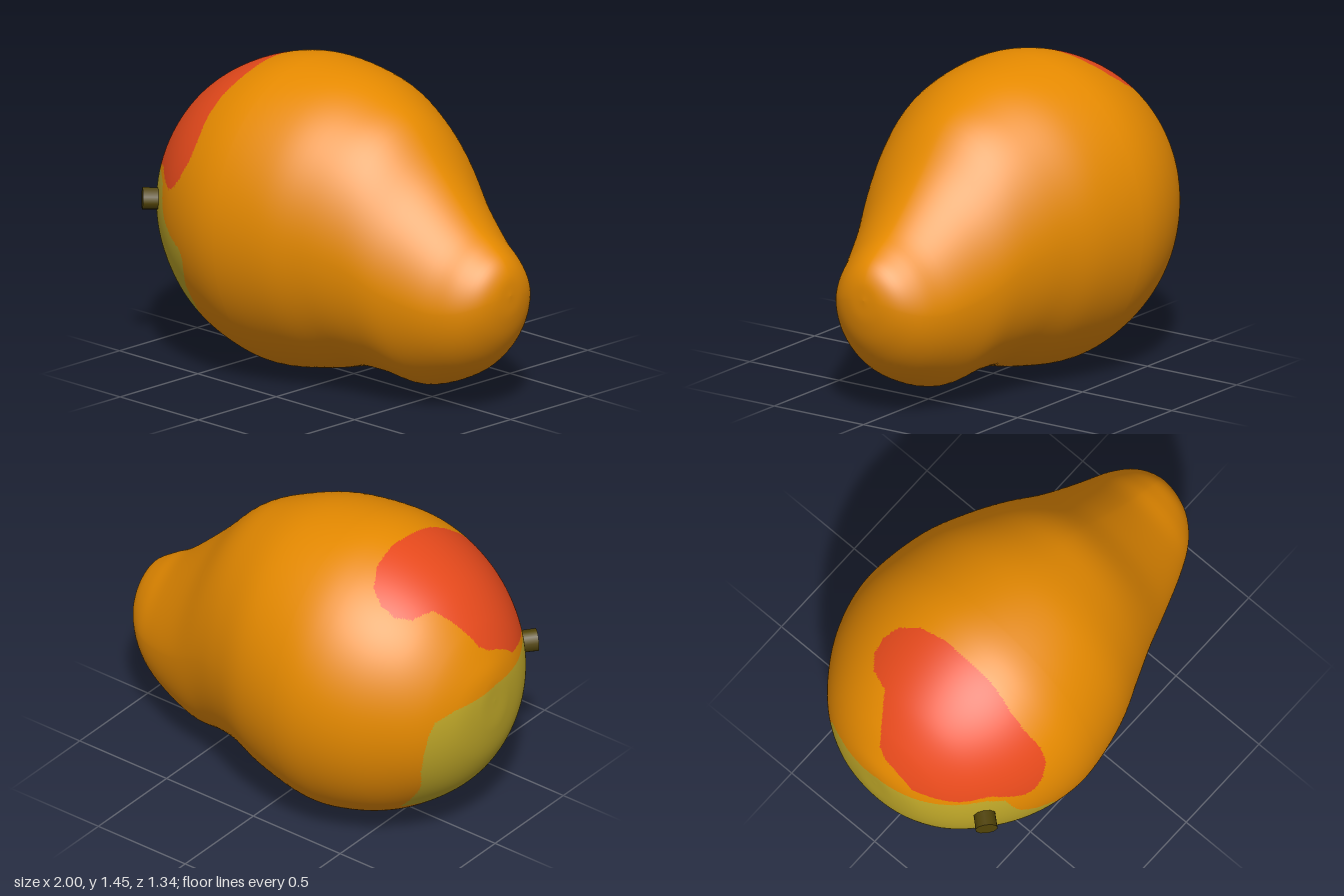
import * as THREE from 'three';

const material = (name, color) => Object.assign(new THREE.MeshStandardMaterial({ color }), { name });

// Even-odd test of a point against an outline of [a, b] pairs
function inside(a, b, outline) {
  let hit = false;
  for (let i = 0, j = outline.length - 1; i < outline.length; j = i++) {
    const [ai, bi] = outline[i], [aj, bj] = outline[j];
    if ((bi > b) !== (bj > b) && a < ((aj - ai) * (b - bi)) / (bj - bi) + ai) hit = !hit;
  }
  return hit;
}

// Body stations along x: [x, top, bottom, half width]
const stations = [
  [-1, 0.78, 0.78, 0], [-0.995, 0.9, 0.62, 0.11], [-0.96, 1.0, 0.465, 0.245], [-0.88, 1.14, 0.32, 0.38],
  [-0.76, 1.27, 0.2, 0.495], [-0.6, 1.37, 0.095, 0.595], [-0.42, 1.435, 0.03, 0.655], [-0.24, 1.455, 0.005, 0.665],
  [0, 1.43, 0.045, 0.62], [0.2, 1.365, 0.095, 0.54], [0.37, 1.27, 0.095, 0.465], [0.55, 1.08, 0.08, 0.39],
  [0.75, 0.89, 0.155, 0.31], [0.87, 0.81, 0.245, 0.25], [0.95, 0.75, 0.36, 0.175], [0.99, 0.68, 0.48, 0.09],
  [1, 0.59, 0.59, 0],
];

// Red blush: outline from above (x, z) and, on the front half, from the front (x, y)
const blushPlan = [
  [-0.955, 0.1], [-0.95, 0.02], [-0.93, -0.03], [-0.86, -0.08], [-0.76, -0.15], [-0.72, -0.25], [-0.66, -0.3],
  [-0.59, -0.31], [-0.52, -0.28], [-0.47, -0.19], [-0.45, -0.05], [-0.45, 0.05], [-0.42, 0.2], [-0.42, 0.8], [-0.955, 0.8],
];
const blushFront = [
  [-1.1, 0.935], [-0.95, 0.925], [-0.9, 0.91], [-0.85, 0.905], [-0.75, 0.93], [-0.69, 0.9], [-0.62, 0.87],
  [-0.57, 0.89], [-0.52, 0.95], [-0.48, 1.04], [-0.47, 1.12], [-0.485, 1.22], [-0.48, 1.3], [-0.455, 1.38],
  [-0.45, 1.6], [-1.1, 1.6],
];
// Green patch: outline from the front (x, y) and, on the back half, from the end (z, y)
const greenFront = [
  [-1.1, 0.86], [-0.95, 0.865], [-0.85, 0.885], [-0.77, 0.9], [-0.7, 0.87], [-0.68, 0.8], [-0.65, 0.73],
  [-0.58, 0.67], [-0.49, 0.62], [-0.475, 0.58], [-0.49, 0.5], [-0.51, 0.44], [-0.5, 0.35], [-0.52, 0.29],
  [-0.51, 0.19], [-0.6, 0.195], [-0.7, 0.215], [-1.1, 0.22],
];
const greenEnd = [
  [0.1, 0.86], [0, 0.86], [-0.1, 0.845], [-0.24, 0.83], [-0.33, 0.795], [-0.36, 0.72], [-0.37, 0.62],
  [-0.36, 0.52], [-0.32, 0.4], [-0.3, 0.3], [-0.28, 0.22], [-0.15, 0.205], [0.1, 0.19],
];

function skinIndex(x, y, z) {
  if (x > -0.4) return 0;
  if (inside(x, z, blushPlan) && (z < 0 ? y > 0.92 : inside(x, y, blushFront))) return 1;
  if (z > 0 ? inside(x, y, greenFront) : x < -0.6 && inside(z, y, greenEnd)) return 2;
  return 0;
}

function bodyGeometry() {
  const outline = new THREE.CatmullRomCurve3(stations.map(([x, t, b]) => new THREE.Vector3(x, t, b)), false, 'catmullrom', 0.5);
  const width = new THREE.CatmullRomCurve3(stations.map(([x, , , w]) => new THREE.Vector3(x, w, 0)), false, 'catmullrom', 0.5);
  // Finer rings over the patched end
  const spans = stations.length - 1, times = [];
  for (let s = 0; s < spans; s++) {
    const steps = s < 7 ? 24 : 5;
    for (let k = 0; k < steps; k++) times.push((s + k / steps) / spans);
  }
  times.push(1);

  const around = 300, pos = [];
  for (const t of times) {
    const p = outline.getPoint(t), half = Math.max(0, width.getPoint(t).y);
    const mid = (p.y + p.z) / 2, rise = (p.y - p.z) / 2;
    // The top of the narrow end is slightly ridged
    const ridge = 2 / (2 - 0.25 * THREE.MathUtils.smoothstep(p.x, 0, 0.7));
    for (let j = 0; j < around; j++) {
      const a = (j / around) * Math.PI * 2, s = Math.sin(a), c = Math.cos(a);
      const e = s > 0 ? ridge : 1;
      pos.push(p.x, mid + rise * Math.sign(s) * Math.abs(s) ** e, half * Math.sign(c) * Math.abs(c) ** e);
    }
  }

  // Sort triangles by skin colour
  const lists = [[], [], []];
  const addFace = (...v) => {
    const m = [0, 1, 2].map(k => (pos[v[0] * 3 + k] + pos[v[1] * 3 + k] + pos[v[2] * 3 + k]) / 3);
    lists[skinIndex(...m)].push(...v);
  };
  for (let i = 0; i < times.length - 1; i++) {
    for (let j = 0; j < around; j++) {
      const a = i * around + j, b = i * around + ((j + 1) % around);
      addFace(a, a + around, b);
      addFace(a + around, b + around, b);
    }
  }
  const g = new THREE.BufferGeometry();
  g.setAttribute('position', new THREE.Float32BufferAttribute(pos, 3));
  g.setIndex(lists.flat());
  let start = 0;
  lists.forEach((list, k) => {
    g.addGroup(start, list.length, k);
    start += list.length;
  });
  g.computeVertexNormals();
  return g;
}

export function createModel() {
  const model = new THREE.Group();
  model.name = 'fruit';
  const orange = material('orangeSkin', 0xe68a00);
  const red = material('redBlush', 0xe84a1c);
  const green = material('greenSkin', 0xbea628);
  const brown = material('stemBrown', 0x524408);

  const body = new THREE.Mesh(bodyGeometry(), [orange, red, green]);
  body.name = 'body';
  model.add(body);

  // Short stem stub leaning out of the wide end
  const stem = new THREE.Mesh(new THREE.CylinderGeometry(0.052, 0.05, 0.16, 10), brown);
  stem.name = 'stem';
  const axis = new THREE.Vector3(-0.66, 0.03, 0.75).normalize();
  stem.quaternion.setFromUnitVectors(new THREE.Vector3(0, 1, 0), axis);
  stem.position.set(-0.83, 0.77, 0.525).addScaledVector(axis, -0.08);
  model.add(stem);
  return model;
}
